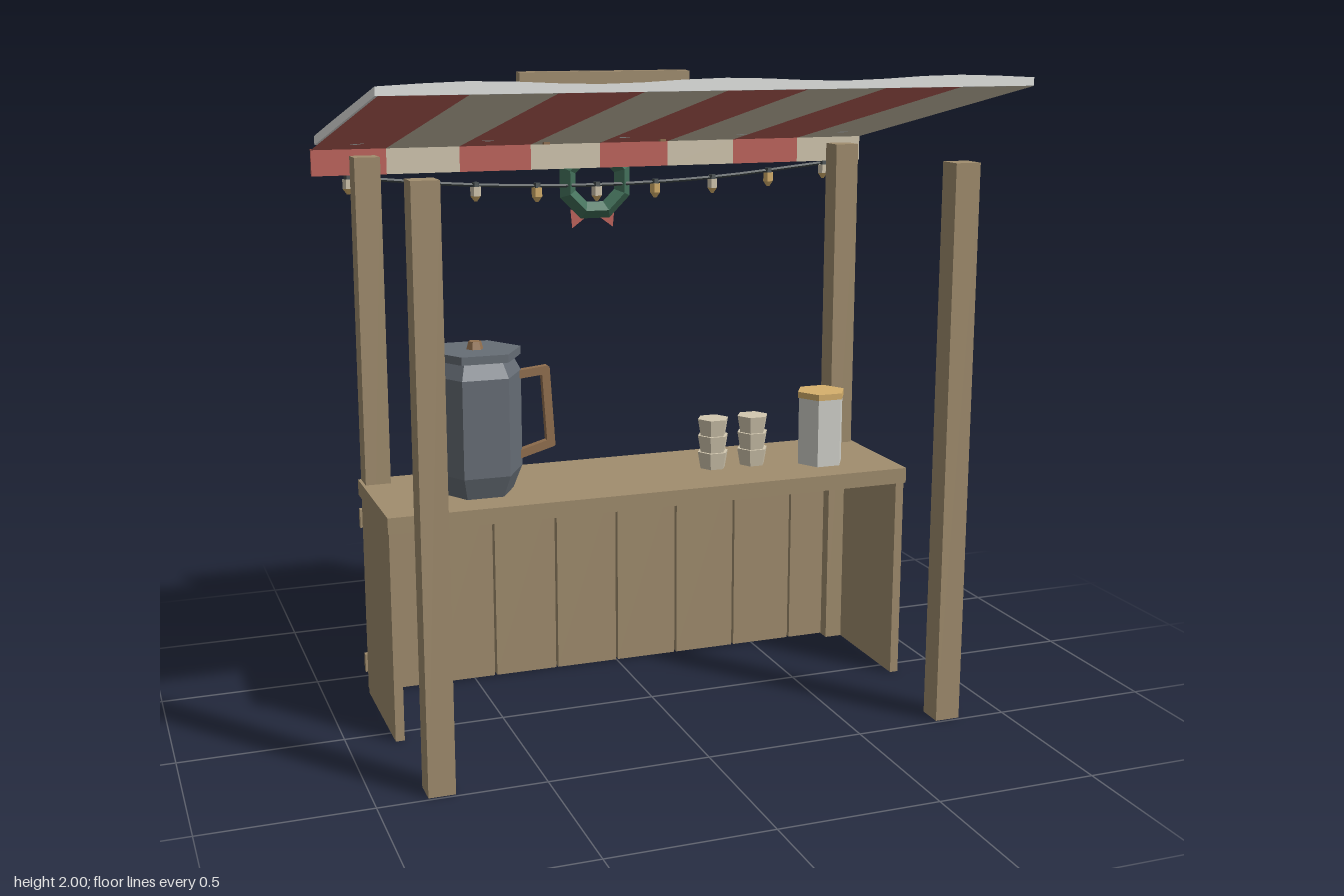
import * as THREE from 'three';

const mat = (name, color, side = THREE.FrontSide) =>
  Object.assign(new THREE.MeshStandardMaterial({ color, side }), { name });

export function createModel() {
  const wood = mat('wood', 0xa18d6e);
  const cream = mat('cream cloth', 0xd3c8b0, THREE.DoubleSide);
  const red = mat('red cloth', 0xc0635b, THREE.DoubleSide);
  const snow = mat('snow', 0xe8e9e6);
  const steel = mat('urn steel', 0x676e76);
  const tin = mat('pale tin', 0xd2d2cb);
  const gold = mat('gold', 0xd6b06c);
  const green = mat('evergreen', 0x42705a);
  const dark = mat('dark metal', 0x40484a);
  const brown = mat('handle brown', 0x92704f);

  const model = new THREE.Group();
  model.name = 'marketStall';
  const group = (name) => {
    const g = new THREE.Group();
    g.name = name;
    model.add(g);
    return g;
  };

  // Faceted mesh helper
  const add = (parent, name, geo, material, x = 0, y = 0, z = 0) => {
    const g = geo.index ? geo.toNonIndexed() : geo;
    g.computeVertexNormals();
    const m = new THREE.Mesh(g, material);
    m.name = name;
    m.position.set(x, y, z);
    parent.add(m);
    return m;
  };
  // Box given by its extents
  const box = (parent, name, material, x0, x1, y0, y1, z0, z1) =>
    add(parent, name, new THREE.BoxGeometry(x1 - x0, y1 - y0, z1 - z0), material,
      (x0 + x1) / 2, (y0 + y1) / 2, (z0 + z1) / 2);
  // Hexagonal prism with corners on the x axis
  const hex = (rTop, rBottom, h) => new THREE.CylinderGeometry(rTop, rBottom, h, 6).rotateY(Math.PI / 6);
  // Square bar between two points
  const bar = (parent, name, material, a, b, w) => {
    const d = b.clone().sub(a);
    const m = add(parent, name, new THREE.BoxGeometry(w, d.length() + w * 0.6, w), material);
    m.position.copy(a).add(b).multiplyScalar(0.5);
    m.quaternion.setFromUnitVectors(new THREE.Vector3(0, 1, 0), d.normalize());
  };

  // Posts
  const posts = group('posts');
  for (const x of [-0.81, 0.81])
    for (const z of [0.45, -0.35]) box(posts, 'post', wood, x - 0.04, x + 0.04, 0, 1.74, z - 0.04, z + 0.04);

  // Counter
  const counter = group('counter');
  box(counter, 'counterTop', wood, -0.86, 0.86, 0.66, 0.71, -0.392, 0.078);
  for (const s of [-1, 1]) {
    const x = s * 0.842;
    box(counter, 'sidePanel', wood, x - 0.014, x + 0.014, 0, 0.66, -0.35, 0.07);
  }
  for (let i = 0; i < 8; i++) {
    const x = -0.855 + i * 0.21375;
    box(counter, 'plank', wood, x + 0.004, x + 0.21, 0.002, 0.66, -0.386, -0.352);
  }
  for (const y of [0.058, 0.55]) box(counter, 'rail', wood, -0.858, 0.858, y, y + 0.06, -0.406, -0.386);

  // Striped canopy with a hanging valance
  const canopy = group('canopy');
  const slope = 0.215 / 1.11;
  const roofY = (z) => 1.965 - (0.6 - z) * slope;
  const stripe = 1.9 / 8;
  for (let i = 0; i < 8; i++) {
    const x = -0.95 + (i + 0.5) * stripe;
    const m = i % 2 ? cream : red;
    const sheet = new THREE.PlaneGeometry(stripe, Math.hypot(1.11, 0.215))
      .rotateX(-Math.PI / 2 - Math.atan(slope));
    add(canopy, 'canopyStripe', sheet, m, x, roofY(0.045), 0.045);
    box(canopy, 'valanceStripe', m, x - stripe / 2, x + stripe / 2, 1.67, 1.755, -0.515, -0.502);
  }

  // Snow sheet with a gently rolling top
  const snowCover = group('snowCover');
  const sheet = new THREE.BoxGeometry(1.91, 0.03, 0.98, 16, 1, 4);
  const p = sheet.attributes.position;
  for (let i = 0; i < p.count; i++) {
    const x = p.getX(i), z = p.getZ(i) + 0.1;
    const top = 0.024 + 0.006 * (z + 0.4) + 0.006 * Math.cos(x * 9 + (0.59 - z) * 2);
    p.setXYZ(i, x, roofY(z) + (p.getY(i) > 0 ? top : 0.002), z);
  }
  const cover = new THREE.Mesh(sheet, snow);
  sheet.computeVertexNormals();
  cover.name = 'snowSheet';
  snowCover.add(cover);
  for (const x of [-0.83, -0.41, 0.04, 0.45, 0.82])
    add(snowCover, 'snowLump', new THREE.SphereGeometry(1, 6, 4).scale(0.085, 0.02, 0.043), snow, x, 1.793, -0.388);

  // Sign board on two stubs
  const sign = group('sign');
  box(sign, 'signBoard', wood, -0.29, 0.29, 1.8, 1.985, -0.47, -0.435);
  box(sign, 'signPanel', cream, -0.255, 0.255, 1.83, 1.955, -0.474, -0.469);
  for (const y of [1.8, 1.962]) box(sign, 'signFrame', wood, -0.29, 0.29, y, y + 0.025, -0.479, -0.469);
  for (const x of [-0.29, 0.265]) box(sign, 'signFrame', wood, x, x + 0.025, 1.8, 1.985, -0.479, -0.469);
  for (const x of [-0.2, 0.2]) box(sign, 'signStub', brown, x - 0.01, x + 0.01, 1.755, 1.81, -0.458, -0.442);

  // Light string
  const lights = group('lightString');
  const sag = (x) => 1.61 + 0.05 * (x / 0.83) ** 2;
  const wire = new THREE.CatmullRomCurve3(
    [-0.83, -0.415, 0, 0.415, 0.83].map((x) => new THREE.Vector3(x, sag(x), -0.54)));
  add(lights, 'wire', new THREE.TubeGeometry(wire, 16, 0.006, 4), dark);
  for (let i = 0; i < 9; i++) {
    const x = -0.83 + i * 0.2075, y = sag(x);
    add(lights, 'bulbCap', hex(0.012, 0.014, 0.016), dark, x, y + 0.002, -0.54);
    add(lights, 'bulb', hex(0.018, 0.018, 0.03), i % 2 ? gold : cream, x, y - 0.02, -0.54);
    add(lights, 'bulbTip', hex(0.018, 0.005, 0.018), gold, x, y - 0.044, -0.54);
  }

  // Wreath with berries and bow
  const wreath = group('wreath');
  add(wreath, 'ring', new THREE.TorusGeometry(0.103, 0.03, 4, 8).rotateZ(Math.PI / 8), green, 0, 1.62, -0.56);
  for (const [x, y] of [[-0.065, 1.69], [0.065, 1.69], [0, 1.508]])
    add(wreath, 'berry', new THREE.SphereGeometry(0.015, 6, 4), red, x, y, -0.591);
  for (const s of [-1, 1]) {
    const tail = new THREE.Shape([[0, 1.515], [s * 0.078, 1.525], [s * 0.072, 1.462]]
      .map(([x, y]) => new THREE.Vector2(x, y)));
    add(wreath, 'bowTail', new THREE.ShapeGeometry(tail), red, 0, 0, -0.588);
  }

  // Drinks urn
  const urn = group('urn');
  urn.position.set(-0.535, 0, -0.118);
  const profile = [[0, 0.715], [0.115, 0.715], [0.145, 0.785], [0.145, 1.09], [0.118, 1.14], [0, 1.14]]
    .map(([r, y]) => new THREE.Vector2(r, y));
  add(urn, 'urnBody', new THREE.LatheGeometry(profile, 6).rotateY(Math.PI / 6), steel);
  add(urn, 'urnLid', hex(0.145, 0.145, 0.025), steel, 0, 1.152, 0);
  add(urn, 'lidKnob', hex(0.02, 0.027, 0.025), brown, 0, 1.176, 0);
  const grip = [[0.125, 1.075], [0.222, 1.085], [0.237, 0.85], [0.13, 0.82]]
    .map(([x, y]) => new THREE.Vector3(x, y, 0));
  for (let i = 0; i < 3; i++) bar(urn, 'urnHandle', brown, grip[i], grip[i + 1], 0.026);
  add(urn, 'tapPipe', new THREE.CylinderGeometry(0.014, 0.014, 0.09, 6).rotateX(Math.PI / 2), dark, 0, 0.878, -0.155);
  add(urn, 'tapSpout', hex(0.013, 0.013, 0.04), dark, 0, 0.868, -0.192);
  add(urn, 'tapKnob', hex(0.016, 0.016, 0.03), gold, 0, 0.88, -0.17);

  // Cup stacks
  const cups = group('cupStacks');
  for (const x of [0.267, 0.407])
    for (let i = 0; i < 3; i++)
      add(cups, 'cup', hex(0.053, 0.043, 0.056), cream, x, 0.738 + i * 0.055, -0.15);

  // Storage tin
  const jar = group('storageTin');
  add(jar, 'tinBody', hex(0.079, 0.079, 0.225), tin, 0.628, 0.823, -0.095);
  add(jar, 'tinLid', hex(0.083, 0.083, 0.02), gold, 0.628, 0.944, -0.095);

  return model;
}
